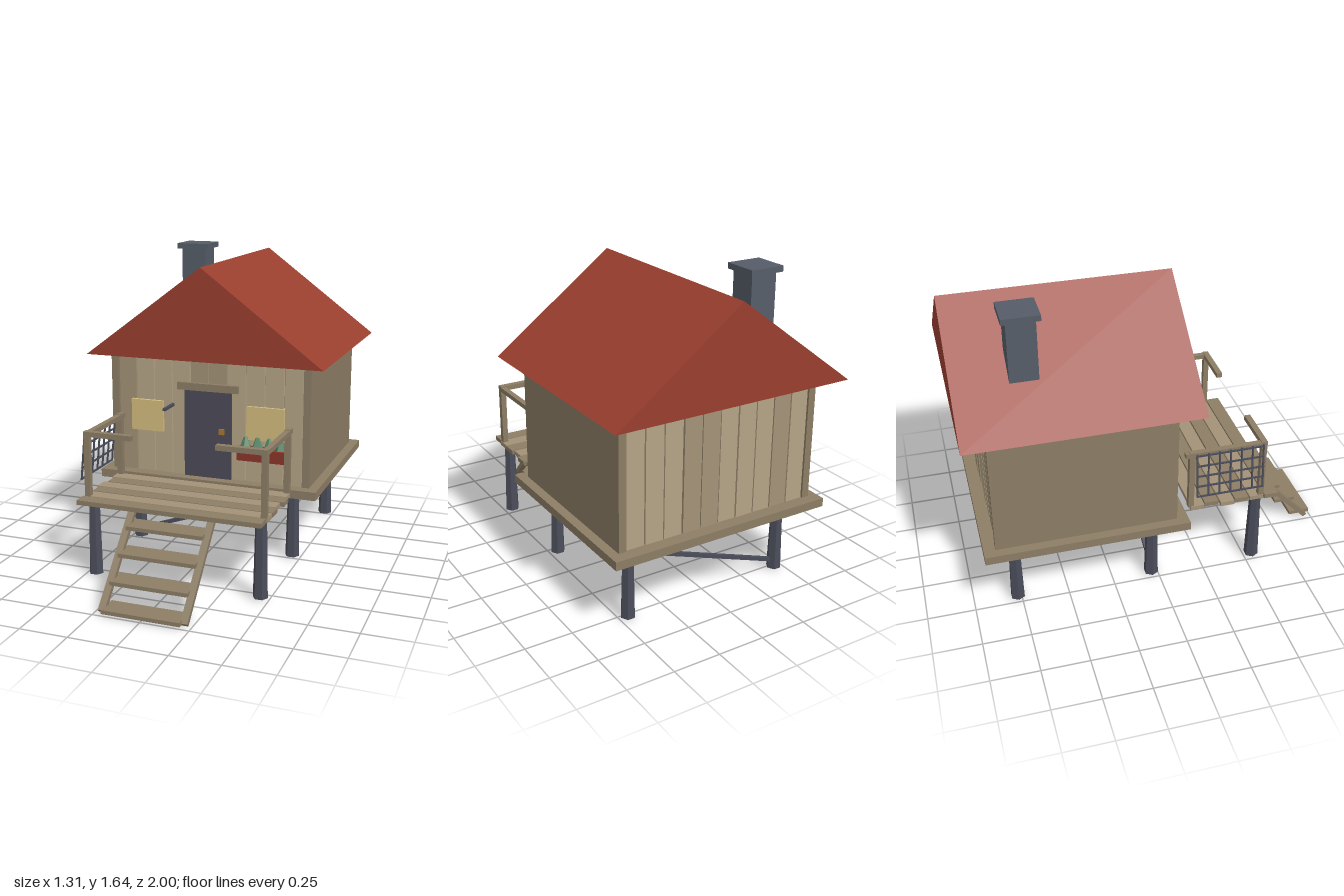
import * as THREE from 'three';

const mat = (color) => new THREE.MeshStandardMaterial({ color, flatShading: true });
const WOOD = mat(0x8c7d65), LIGHT = mat(0xb5a486), MID = mat(0xa39277);
const METAL = mat(0x4a4d5a), STONE = mat(0x565d68), RED = mat(0x9a3f2f);
const DOOR = mat(0x4b4a58), PANE = mat(0xd3bc7e), BRASS = mat(0xa87430);
const BOX = mat(0x8c3529), LEAF = mat(0x5c8c6c);

// Box given by its extents on each axis
function box(parent, name, material, [x0, x1], [y0, y1], [z0, z1]) {
  const m = new THREE.Mesh(new THREE.BoxGeometry(x1 - x0, y1 - y0, z1 - z0), material);
  m.position.set((x0 + x1) / 2, (y0 + y1) / 2, (z0 + z1) / 2);
  m.name = name;
  parent.add(m);
  return m;
}

// Square beam whose depth axis runs from a to b
function beam(parent, name, material, a, b, w, h = w) {
  const p = new THREE.Vector3(...a), q = new THREE.Vector3(...b);
  const m = new THREE.Mesh(new THREE.BoxGeometry(w, h, p.distanceTo(q)), material);
  m.position.copy(p).add(q).multiplyScalar(0.5);
  m.lookAt(q);
  m.name = name;
  parent.add(m);
  return m;
}

function group(parent, name) {
  const g = new THREE.Group();
  g.name = name;
  parent.add(g);
  return g;
}

export function createModel() {
  const model = new THREE.Group();
  model.name = 'stiltHut';
  let seed = 7;
  const rand = () => (seed = (seed * 16807) % 2147483647) / 2147483647;

  // Stilts: tapered six-sided posts, with a diagonal brace behind
  const stilts = group(model, 'stilts');
  for (const [z, top] of [[0.545, 0.425], [-0.035, 0.41], [-0.77, 0.41]]) {
    for (const x of [-0.452, 0.452]) {
      const geo = new THREE.CylinderGeometry(0.03, 0.039, top - 0.015, 6);
      geo.rotateY(Math.PI / 6);
      const s = new THREE.Mesh(geo, METAL);
      s.position.set(x, (top + 0.015) / 2, z);
      s.name = 'stilt';
      stilts.add(s);
    }
  }
  for (const z of [-0.035, -0.77]) {
    beam(stilts, 'brace', METAL, [-0.45, 0.055, z], [0.45, 0.375, z], 0.02);
  }

  // Floor, core and side walls
  const house = group(model, 'house');
  box(house, 'floor', WOOD, [-0.615, 0.615], [0.4, 0.445], [-0.935, 0.13]);
  box(house, 'wallCore', WOOD, [-0.53, 0.53], [0.44, 1.11], [-0.85, 0.045]);
  for (const s of [-1, 1]) {
    box(house, 'sideWall', WOOD, [s * 0.545 - 0.02, s * 0.545 + 0.02], [0.44, 1.11], [-0.875, 0.07]);
  }

  // Upright planks on the front and back walls
  for (const z of [0.05, -0.855]) {
    for (let i = 0; i < 10; i++) {
      const x = -0.4725 + i * 0.105, d = 0.01 + rand() * 0.006;
      const top = 1.105 - rand() * 0.015;
      box(house, 'wallPlank', rand() > 0.4 ? LIGHT : MID,
        [x - 0.049, x + 0.049], [0.445, top], [z - d, z + d]);
    }
  }

  // Solid gabled roof
  const gable = new THREE.Shape([
    new THREE.Vector2(-0.655, 1.105), new THREE.Vector2(0.655, 1.105), new THREE.Vector2(0, 1.595)]);
  const roof = new THREE.Mesh(
    new THREE.ExtrudeGeometry(gable, { depth: 1.19, bevelEnabled: false }), RED);
  roof.position.z = -1;
  roof.name = 'roof';
  model.add(roof);

  // Chimney
  const chimney = group(model, 'chimney');
  box(chimney, 'chimneyStack', STONE, [-0.402, -0.258], [1.2, 1.62], [-0.722, -0.578]);
  box(chimney, 'chimneyCap', STONE, [-0.425, -0.238], [1.615, 1.645], [-0.745, -0.557]);

  // Door, windows and lamp bracket
  const front = group(model, 'frontFittings');
  box(front, 'door', DOOR, [-0.135, 0.132], [0.445, 0.928], [0.04, 0.077]);
  box(front, 'lintel', WOOD, [-0.173, 0.171], [0.926, 0.966], [0.04, 0.088]);
  box(front, 'doorKnob', BRASS, [0.066, 0.096], [0.695, 0.725], [0.07, 0.09]);
  box(front, 'leftWindow', PANE, [0.218, 0.425], [0.68, 0.862], [0.04, 0.08]);
  box(front, 'rightWindow', PANE, [-0.445, -0.26], [0.678, 0.85], [0.04, 0.08]);
  box(front, 'lampBracket', METAL, [-0.213, -0.198], [0.826, 0.841], [0.05, 0.192]);

  // Flower box with four small shrubs
  const flowers = group(model, 'flowerBox');
  box(flowers, 'planter', BOX, [0.184, 0.453], [0.58, 0.645], [0.06, 0.137]);
  for (let i = 0; i < 4; i++) {
    const shrub = new THREE.Mesh(new THREE.CylinderGeometry(0.01, 0.032, 0.06, 5), LEAF);
    shrub.position.set(0.222 + i * 0.065, 0.672, 0.1);
    shrub.rotation.y = i * 0.7;
    shrub.name = 'shrub';
    flowers.add(shrub);
  }

  // Porch deck
  const porch = group(model, 'porch');
  [0.62, 0.538, 0.455, 0.372, 0.289, 0.207].forEach((z, i) => {
    const shift = (rand() - 0.5) * 0.03;
    box(porch, 'deckPlank', i % 2 ? MID : WOOD,
      [-0.492 + shift, 0.492 + shift], [0.421, 0.445], [z - 0.038, z + 0.038]);
  });

  // Railings, mirrored on both sides
  for (const s of [-1, 1]) {
    const x = s * 0.474;
    for (const z of [0.562, 0.171]) {
      box(porch, 'railPost', WOOD, [x - 0.015, x + 0.015], [0.44, 0.785], [z - 0.015, z + 0.015]);
    }
    box(porch, 'sideRail', WOOD, [x - 0.015, x + 0.015], [0.757, 0.782], [0.135, 0.575]);
    box(porch, 'frontRail', WOOD, [s * 0.357 - 0.132, s * 0.357 + 0.132], [0.76, 0.787], [0.546, 0.578]);
  }

  // Net hung slanting outward from one railing
  const net = group(model, 'net');
  for (let i = 0; i < 7; i++) {
    const z = 0.555 - i * 0.06;
    beam(net, 'netCord', METAL, [-0.492, 0.775, z], [-0.517, 0.522, z], 0.008);
  }
  for (let i = 0; i < 5; i++) {
    const t = i / 4, y = 0.765 - t * 0.24, x = -0.493 - t * 0.024;
    beam(net, 'netCord', METAL, [x, y, 0.56], [x, y, 0.19], 0.008);
  }

  // Steps down to the ground
  const stairs = group(model, 'stairs');
  for (const s of [-1, 1]) {
    beam(stairs, 'stringer', WOOD, [s * 0.213, 0.425, 0.575], [s * 0.213, 0.018, 0.967], 0.036, 0.025);
  }
  for (let i = 0; i < 4; i++) {
    const y = 0.348 - i * 0.106, z = 0.642 + i * 0.0993;
    box(stairs, 'tread', WOOD, [-0.203, 0.203], [y - 0.01, y + 0.01], [z - 0.06, z + 0.06]);
  }
  return model;
}
